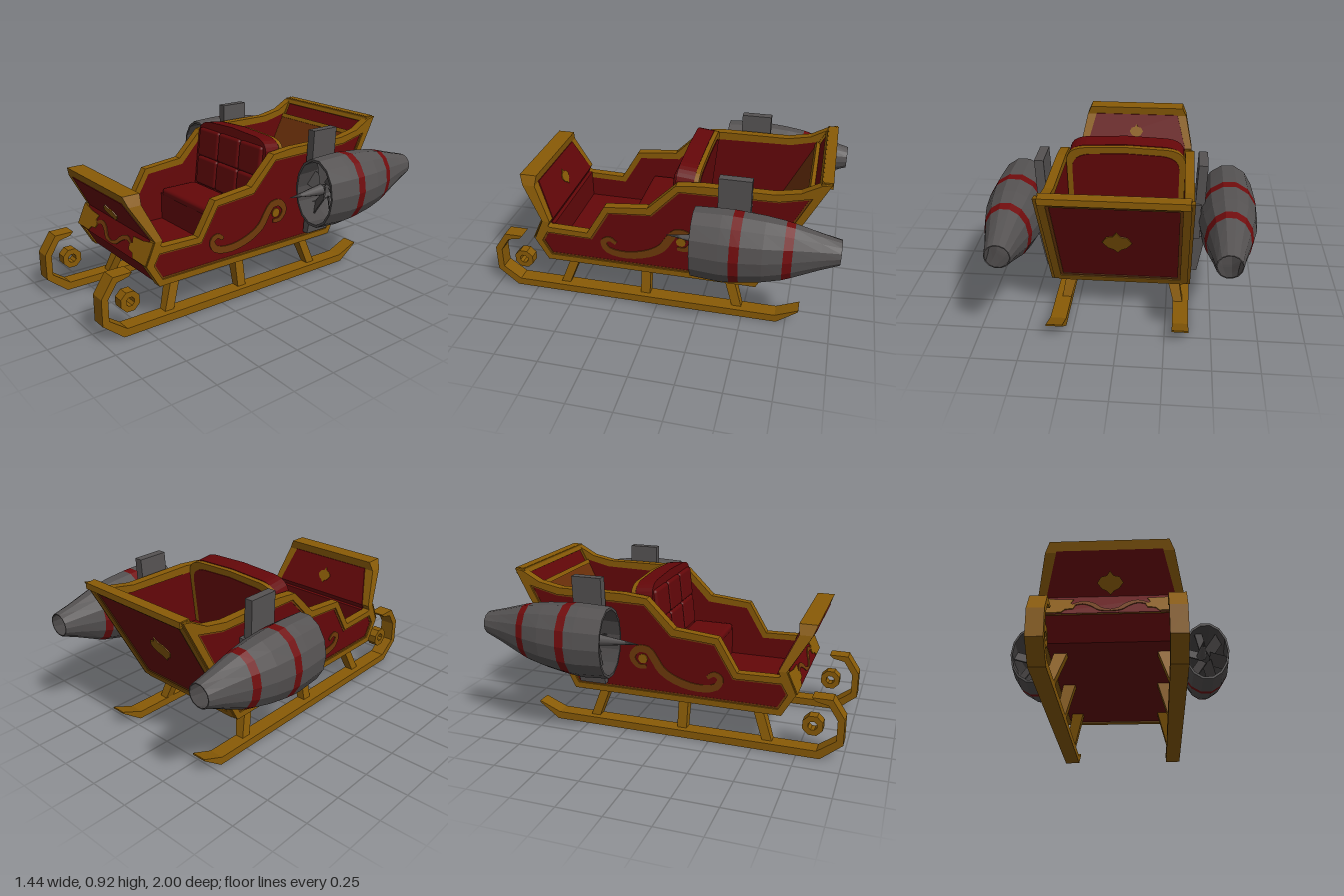
import * as THREE from 'three';
import { RoundedBoxGeometry } from 'three/addons/geometries/RoundedBoxGeometry.js';

const mat = (name, color, side = THREE.FrontSide) => {
  const m = new THREE.MeshStandardMaterial({ color, side });
  m.name = name;
  return m;
};

export function createModel() {
  const gold = mat('gold', 0x895b06);
  const red = mat('deep red', 0x640709);
  const bronze = mat('bronze', 0x6e3a0a);
  const brown = mat('lining brown', 0x6c300a);
  const steel = mat('steel', 0x555252, THREE.DoubleSide);
  const darkSteel = mat('dark steel', 0x4a4747, THREE.DoubleSide);
  const stripe = mat('stripe red', 0x700c0d);
  const root = new THREE.Group();
  root.name = 'jetSleigh';

  const add = (name, geo, material, parent = root, pos = [0, 0, 0]) => {
    const m = new THREE.Mesh(geo, material);
    m.name = name;
    m.position.set(...pos);
    parent.add(m);
    return m;
  };
  const group = (name, pos, rx) => {
    const g = new THREE.Group();
    g.name = name;
    g.position.set(...pos);
    g.rotation.x = rx;
    root.add(g);
    return g;
  };
  const shapeOf = (pts, hole) => {
    const v = a => a.map(p => new THREE.Vector2(p[0], p[1]));
    const s = new THREE.Shape(v(pts));
    if (hole) s.holes.push(new THREE.Path(v(hole)));
    return s;
  };
  const plate = (shape, depth) => new THREE.ExtrudeGeometry(shape, { depth, bevelEnabled: false, curveSegments: 6 });
  // Extrude a (z, y) outline from x0 to x1
  const acrossX = (pts, x0, x1, hole) =>
    plate(shapeOf(pts, hole), x1 - x0).rotateY(-Math.PI / 2).translate(x1, 0, 0);
  // Mitred inset of a counter-clockwise outline
  const inset = (pts, d) => pts.map((p, i) => {
    const q = pts.at(i - 1), r = pts[(i + 1) % pts.length];
    const n = (a, b) => new THREE.Vector2(a[1] - b[1], b[0] - a[0]).normalize();
    const n1 = n(q, p), n2 = n(p, r), k = d / (1 + n1.dot(n2));
    return [p[0] + (n1.x + n2.x) * k, p[1] + (n1.y + n2.y) * k];
  });
  // Skin rings of equal point count, faceted
  const loft = (rings, capped) => {
    const n = rings[0].length, idx = [];
    for (let r = 0; r < rings.length - 1; r++)
      for (let i = 0; i < n; i++) {
        const a = r * n + i, b = r * n + (i + 1) % n;
        idx.push(a, b, b + n, a, b + n, a + n);
      }
    if (capped) {
      const e = (rings.length - 1) * n;
      for (let i = 1; i < n - 1; i++) idx.push(0, i + 1, i, e, e + i, e + i + 1);
    }
    const g = new THREE.BufferGeometry();
    g.setAttribute('position', new THREE.Float32BufferAttribute(rings.flat(2), 3));
    g.setIndex(idx);
    const flat = g.toNonIndexed();
    flat.computeVertexNormals();
    return flat;
  };
  const quad = (y, x0, x1, zF, zB) => [[x1, y, zF], [x1, y, zB], [x0, y, zB], [x0, y, zF]];
  // Flat tapering band along a curve in the plane
  const ribbon = (pts, w) => {
    const c = new THREE.CatmullRomCurve3(pts.map(p => new THREE.Vector3(p[0], p[1], 0)));
    const l = [], r = [], n = 36;
    for (let i = 0; i <= n; i++) {
      const p = c.getPoint(i / n), t = c.getTangent(i / n);
      const h = w / 2 * (0.45 + 0.55 * Math.sin(Math.PI * i / n));
      l.push([p.x - t.y * h, p.y + t.x * h]);
      r.unshift([p.x + t.y * h, p.y - t.x * h]);
    }
    return shapeOf([...l, ...r]);
  };
  // Rounded ornament with a point above and below
  const emblem = (w, h) => shapeOf([[0, h], [w * .25, h * .6], [w * .7, h * .5], [w, 0], [w * .65, -h * .5], [w * .25, -h * .7],
    [0, -h], [-w * .25, -h * .7], [-w * .65, -h * .5], [-w, 0], [-w * .7, h * .5], [-w * .25, h * .6]]);

  // Outlines as (z, y)
  const wall = [[.66, .225], [.735, .355], [.68, .475], [.635, .445], [.41, .44], [.30, .625], [.05, .65], [-.11, .81],
    [-.25, .825], [-.64, .825], [-.77, .85], [-.87, .905], [-.92, .915], [-.57, .225]];
  const opening = [[.64, .26], [.69, .35], [.655, .41], [.39, .405], [.28, .59], [.03, .61], [-.125, .775],
    [-.66, .785], [-.83, .825], [-.55, .26]];
  const runner = [[.82, .355], [.93, .355], [1, .25], [1, .1], [.88, 0], [-.7, 0], [-.82, .09], [-.82, .1],
    [-.69, .045], [.86, .045], [.962, .12], [.962, .24], [.91, .32], [.84, .335]];
  const swirl = [[.24, .39], [.28, .415], [.315, .39], [.29, .34], [.18, .32], [.05, .35], [-.03, .40], [-.07, .46],
    [-.11, .51], [-.17, .51], [-.205, .46], [-.17, .41], [-.12, .41]];

  // Engine stations: z, centre y, half height, half width, centre x
  const stations = [[-.25, .6, .2, .145, .562], [-.4, .598, .208, .153, .563], [-.455, .6, .205, .155, .563],
    [-.505, .602, .2, .154, .563], [-.62, .607, .185, .144, .562], [-.72, .612, .166, .124, .56],
    [-.765, .615, .152, .112, .558], [-.9, .628, .1, .083, .553], [-1, .637, .065, .066, .55]];
  const ring = ([z, cy, ry, rx, cx], s, k = 1) => Array.from({ length: 14 }, (_, i) => {
    const a = i / 14 * Math.PI * 2;
    return [s * cx + Math.cos(a) * rx * k, cy - Math.sin(a) * ry * k, z];
  });

  for (const s of [1, -1]) {
    const side = s > 0 ? 'left' : 'right';
    const span = (a, b) => s > 0 ? [a, b] : [-b, -a];

    // Side walls with gold borders, bronze edging and scrollwork
    add(side + 'WallFrame', acrossX(wall, ...span(.33, .38), opening), gold);
    add(side + 'WallEdging', acrossX(opening, ...span(.362, .372), inset(opening, .01)), bronze);
    add(side + 'WallPanel', acrossX(opening, ...span(.336, .37)), red);
    const swirlGeo = plate(ribbon(swirl, .048), .006).rotateY(-Math.PI / 2).translate(s > 0 ? .376 : -.37, 0, 0);
    add(side + 'WallScroll', swirlGeo, bronze);
    add(side + 'ScrollBud', new THREE.CylinderGeometry(.028, .028, .008, 10).rotateZ(Math.PI / 2), gold, root, [s * .372, .455, -.14]);

    // Runners, curl bosses and struts
    add(side + 'Runner', acrossX(runner, ...span(.29, .378)), gold);
    const ringPts = r => Array.from({ length: 8 }, (_, i) =>
      [.83 + r * Math.cos((i + .5) * Math.PI / 4), .185 + r * Math.sin((i + .5) * Math.PI / 4)]);
    add(side + 'RunnerCurlRing', acrossX(ringPts(.06), ...span(.305, .365), ringPts(.026)), gold);
    for (const [zb, zt] of [[.585, .505], [.08, .08], [-.47, -.4]]) {
      add(side + 'Strut', loft([
        quad(.03, ...span(.295, .345), zb + .028, zb - .028),
        quad(.24, ...span(.235, .305), zt + .028, zt - .028)], true), gold);
    }

    // Engine shell, painted bands and hollow inside
    const skin = (a, b) => loft(stations.slice(a, b + 1).map(q => ring(q, s)));
    for (const [a, b] of [[0, 2], [3, 5], [6, 8]]) add(side + 'EngineShell', skin(a, b), steel);
    for (const a of [2, 5]) add(side + 'EngineBand', skin(a, a + 1), stripe);
    add(side + 'EngineLiner', loft([ring(stations[0], s), ...stations.map(q => ring(q, s, .92))]), darkSteel);
    add(side + 'EngineTailLip', loft([ring(stations[8], s, .92), ring(stations[8], s)]), steel);

    // Intake spike and fan blades
    add(side + 'EngineSpike', new THREE.ConeGeometry(.034, .24, 8).rotateX(Math.PI / 2), steel, root, [s * .535, .6, -.21]);
    for (let i = 0; i < 6; i++) {
      const a = i / 6 * Math.PI * 2 + .3;
      const blade = new THREE.BoxGeometry(.09, .145, .008).rotateY(.6).translate(0, .108, 0).rotateZ(a).scale(.75, 1, 1);
      add(side + 'FanBlade', blade, darkSteel, root, [s * .56, .6, -.36]);
    }

    // Upper and lower fins and the bracket to the wall
    add(side + 'UpperFin', loft([
      quad(.68, ...span(.388, .438), -.35, -.525),
      quad(.92, ...span(.398, .446), -.35, -.525)], true), steel);
    add(side + 'LowerFin', loft([
      quad(.285, ...span(.378, .412), -.36, -.52),
      quad(.5, ...span(.388, .45), -.36, -.52)], true), steel);
    add(side + 'EngineBracket', new THREE.BoxGeometry(.06, .2, .2), steel, root, [s * .39, .6, -.44]);
  }

  // Floor, sloped nose, bench and cargo deck in one section
  add('floorAndBench', acrossX([[.655, .23], [.725, .355], [.67, .45], [.62, .45], [.62, .28], [.19, .28], [.19, .45],
    [-.22, .45], [-.24, .27], [-.56, .27], [-.565, .23]], -.334, .334), red);
  add('benchCushion', new RoundedBoxGeometry(.64, .05, .25, 2, .02), red, root, [0, .46, .07]);
  add('rearSill', new THREE.BoxGeometry(.68, .035, .04), gold, root, [0, .241, -.555]);

  // Backrest with tufted pads and gold edging
  const rest = group('backrest', [0, .44, -.06], -.1);
  const restShape = (w, h) => {
    const s = new THREE.Shape();
    s.moveTo(-w, 0).lineTo(w, 0).lineTo(w, h - .1);
    s.quadraticCurveTo(w, h - .02, w - .1, h - .01).lineTo(0, h).lineTo(-w + .1, h - .01);
    s.quadraticCurveTo(-w, h - .02, -w, h - .1).closePath();
    return s;
  };
  add('backrestCore', plate(restShape(.325, .452), .1), red, rest, [0, 0, -.1]);
  add('backrestEdging', plate(restShape(.332, .448), .025), gold, rest, [0, 0, -.125]);
  add('backrestRear', plate(restShape(.3, .41), .006), red, rest, [0, 0, -.129]);
  for (const y of [.13, .31])
    for (const x of [-.2, 0, .2])
      add('backrestPad', new RoundedBoxGeometry(.199, .178, .05, 2, .018), red, rest, [x, y, -.006]);

  // Dashboard: rows are y, front z, back z, half width
  const dash = [[.355, .735, .69, .38], [.48, .68, .635, .38], [.68, .8, .727, .335], [.735, .82, .72, .31]];
  add('dashFrame', loft(dash.map(([y, f, b, w]) => quad(y, -w, w, f, b)), true), gold);
  const face = [[.356, .735, .69, .34], [.48, .68, .635, .335], [.685, .802, .727, .275]];
  add('dashPanel', loft(face.map(([y, f, b, w]) => quad(y, -w, w, f + .005, b - .005)), true), red);
  add('dashEmblem', plate(emblem(.068, .062), .006), gold, group('dashFrontMount', [0, .54, .722], .54));
  add('dashRearEmblem', plate(emblem(.045, .05), .006).rotateY(Math.PI), gold, group('dashRearMount', [0, .58, .676], .41));

  // Nose ornaments on the lower dash slope
  const nose = group('noseOrnaments', [0, .36, .738], -.425);
  for (const s of [1, -1]) {
    const corner = [[.38, 0], [.25, 0], [.23, .025], [.19, .03], [.18, .055], [.205, .075], [.19, .105], [.28, .11], [.33, .12], [.38, .13]];
    add('noseCorner', plate(shapeOf(corner.map(([x, y]) => [x * s, y])), .006), gold, nose);
    add('noseScroll', plate(ribbon([[0, .012], [.05, .025], [.09, .06], [.14, .08], [.2, .06]].map(([x, y]) => [x * s, y]), .028), .005), bronze, nose);
  }

  // Leaning rear wall, framed outside and lined inside
  const rear = group('rearWall', [0, .23, -.57], -.47);
  const rect = (w, a, b) => [[-w, a], [w, a], [w, b], [-w, b]];
  add('rearFrame', plate(shapeOf(rect(.365, 0, .75), rect(.325, .04, .715)), .05), gold, rear, [0, 0, -.006]);
  add('rearEdging', plate(shapeOf(rect(.325, .04, .715), rect(.31, .055, .7)), .006), bronze, rear, [0, 0, -.002]);
  add('rearPanel', new THREE.BoxGeometry(.66, .69, .03), red, rear, [0, .38, .017]);
  add('rearLining', new THREE.BoxGeometry(.66, .58, .009), brown, rear, [0, .325, .042]);
  add('rearLiningTrim', new THREE.BoxGeometry(.66, .025, .03), gold, rear, [0, .625, .04]);
  add('rearEmblem', plate(emblem(.075, .095), .006).rotateY(Math.PI), gold, rear, [0, .4, .003]);
  add('rearTopRail', new THREE.BoxGeometry(.72, .035, .06), gold, root, [0, .9, -.895]);

  return root;
}
